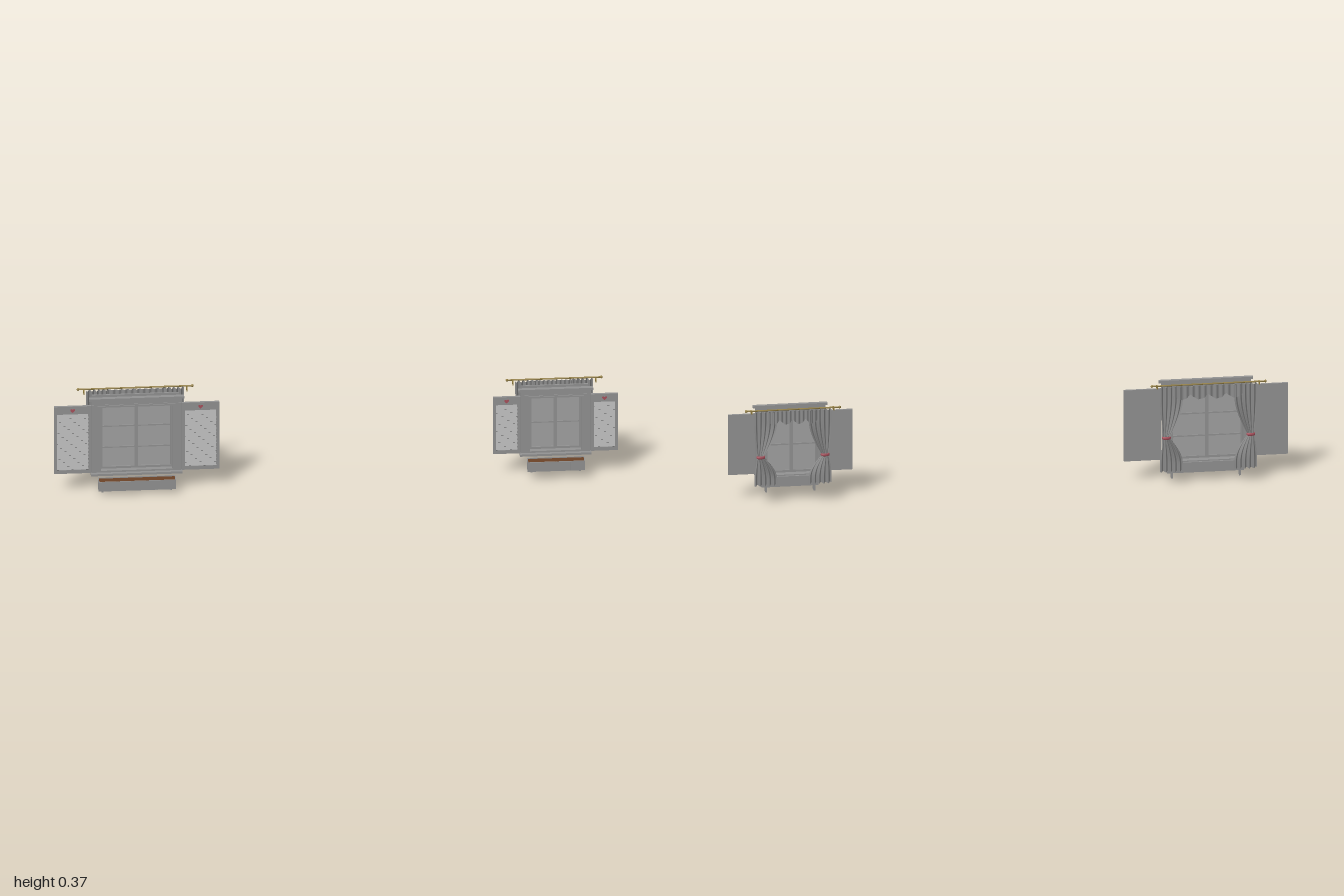
import * as THREE from 'three';

const material = (name, color, side = THREE.FrontSide) => {
  const m = new THREE.MeshStandardMaterial({ color, side });
  m.name = name;
  return m;
};

export function createModel() {
  const paint = material('painted wood grey', 0x929292);
  const pane = material('glass grey', 0xa2a2a2);
  const cloth = material('curtain grey', 0x8c8c8c, THREE.DoubleSide);
  const soilBrown = material('soil brown', 0x6b4226);
  const brass = material('brass', 0x8f7a3c);
  const red = material('dusty red', 0xa8505c);

  const add = (group, name, geometry, mat, x = 0, y = 0, z = 0) => {
    const mesh = new THREE.Mesh(geometry, mat);
    mesh.name = name;
    mesh.position.set(x, y, z);
    group.add(mesh);
    return mesh;
  };
  // Box given by its limits on each axis
  const box = (group, name, x0, x1, y0, y1, z0, z1, mat = paint) =>
    add(group, name, new THREE.BoxGeometry(x1 - x0, y1 - y0, z1 - z0), mat,
      (x0 + x1) / 2, (y0 + y1) / 2, (z0 + z1) / 2);
  // Rectangular frame with a rectangular hole
  const frame = (group, name, ox, oy0, oy1, ix, iy0, iy1, z0, z1, cx = 0) => {
    const rect = (P, x, a, b) => {
      const p = new P();
      p.moveTo(-x, a); p.lineTo(x, a); p.lineTo(x, b); p.lineTo(-x, b); p.closePath();
      return p;
    };
    const s = rect(THREE.Shape, ox, oy0, oy1);
    s.holes.push(rect(THREE.Path, ix, iy0, iy1));
    return add(group, name, new THREE.ExtrudeGeometry(s, { depth: z1 - z0, bevelEnabled: false }), paint, cx, 0, z0);
  };
  // Cloth sheet: fn(u, v) gives a point
  const sheet = (group, name, nu, nv, fn) => {
    const g = new THREE.PlaneGeometry(1, 1, nu, nv);
    const p = g.attributes.position;
    for (let i = 0; i < p.count; i++) p.setXYZ(i, ...fn(p.getX(i) + 0.5, p.getY(i) + 0.5));
    g.computeVertexNormals();
    return add(group, name, g, cloth);
  };

  const heart = new THREE.Shape();
  heart.moveTo(0, -0.008);
  heart.bezierCurveTo(-0.014, 0.001, -0.008, 0.011, 0, 0.004);
  heart.bezierCurveTo(0.008, 0.011, 0.014, 0.001, 0, -0.008);

  function shutter(W, y0, y1, side) {
    const g = new THREE.Group();
    g.name = side > 0 ? 'leftShutter' : 'rightShutter';
    const w = W / 4, a = y0 - 0.001, b = y1 + 0.002;
    box(g, 'shutterBack', -w, w, a, b, 0.013, 0.017);
    frame(g, 'shutterFrame', w, a, b, w - 0.011, a + 0.014, b - 0.03, 0.017, 0.022);
    const lo = a + 0.016, hi = b - 0.032, n = Math.round((hi - lo) / 0.0145);
    for (let i = 0; i < n; i++) {
      const slat = box(g, 'louvre', -w + 0.011, w - 0.011, -0.0075, 0.0075, -0.001, 0.001);
      slat.position.set(0, lo + (i + 0.5) * (hi - lo) / n, 0.0215);
      slat.rotation.x = -0.6;
    }
    add(g, 'shutterHeart', new THREE.ExtrudeGeometry(heart, { depth: 0.001, bevelEnabled: false, curveSegments: 8 }),
      red, 0, b - 0.016, 0.022);
    g.position.x = side * (W / 2 + 0.028 + w);
    return g;
  }

  function flowerBox(W, y0) {
    const g = new THREE.Group();
    g.name = 'flowerBox';
    const x = W / 2 + 0.005, b = y0 - 0.057, t = y0 - 0.02;
    box(g, 'boxBase', -x, x, b, b + 0.004, 0.023, 0.06);
    box(g, 'boxBack', -x, x, b, t, 0.023, 0.026);
    box(g, 'boxFront', -x, x, b, t, 0.057, 0.06);
    for (const s of [-1, 1]) {
      box(g, 'boxEnd', s * x - 0.0015 - s * 0.0015, s * x + 0.0015 - s * 0.0015, b, t, 0.026, 0.057);
      const bx = s * (W / 2 - 0.011);
      box(g, 'boxBracket', bx - 0.003, bx + 0.003, b - 0.016, b + 0.023, 0.013, 0.023);
      box(g, 'bracketFoot', bx - 0.003, bx + 0.003, b - 0.016, b, 0.023, 0.035);
    }
    box(g, 'soil', -x + 0.003, x - 0.003, b + 0.004, t - 0.003, 0.026, 0.057, soilBrown);
    for (let i = -1; i <= 1; i++)
      box(g, 'boxBatten', i * x / 2 - 0.002, i * x / 2 + 0.002, b, t, 0.06, 0.061);
    return g;
  }

  function curtains(W, y0, y1) {
    const g = new THREE.Group();
    g.name = 'curtains';
    const top = y1 + 0.028, bottom = y0 - 0.025, tieY = 0.176, z = -0.048;
    const half = W / 2 + 0.07, rodY = y1 + 0.034;
    add(g, 'curtainRod', new THREE.CylinderGeometry(0.0028, 0.0028, half * 2, 12), brass, 0, rodY, z).rotation.z = Math.PI / 2;
    for (const s of [-1, 1]) {
      add(g, 'rodFinial', new THREE.SphereGeometry(0.0048, 12, 8), brass, s * half, rodY, z);
      box(g, 'rodBracket', s * (W / 2 + 0.05) - 0.002, s * (W / 2 + 0.05) + 0.002, rodY - 0.012, rodY - 0.002, z, -0.028, brass);
      // Gathered panel, pinched at the tie
      sheet(g, s > 0 ? 'leftCurtain' : 'rightCurtain', 60, 36, (u, v) => {
        const y = bottom + v * (top - bottom);
        const d = y > tieY ? (y - tieY) / (top - tieY) : (tieY - y) / (tieY - bottom);
        const open = Math.sin(Math.min(1, d * 1.25) * Math.PI / 2);
        const width = 0.022 + 0.06 * open;
        const centre = W / 2 + 0.018 * (1 - open);
        return [s * centre + (u - 0.5) * width, y, z + (0.003 + 0.006 * open) * Math.sin(u * Math.PI * 10)];
      });
      const tie = add(g, 'curtainTie', new THREE.TorusGeometry(0.012, 0.0025, 8, 24), red, s * (W / 2 + 0.018), tieY, z);
      tie.rotation.x = Math.PI / 2;
      tie.scale.set(1.1, 0.6, 2);
    }
    // Scalloped valance
    sheet(g, 'valance', 96, 6, (u, v) => {
      const drop = 0.032 + 0.018 * Math.abs(Math.sin(u * Math.PI * 4));
      return [(u - 0.5) * (W - 0.01), top - (1 - v) * drop, z + 0.003 * Math.sin(u * Math.PI * 24)];
    });
    return g;
  }

  function windowUnit(name, cx, W, y0, y1, rows) {
    const g = new THREE.Group();
    g.name = name;
    const x = W / 2, ix = x - 0.006, a = y0 + 0.006, b = y1 - 0.006;
    // Lining, outer and inner casings
    frame(g, 'jamb', x, y0, y1, ix, a, b, -0.027, 0.013);
    frame(g, 'outerCasing', x + 0.026, y0 - 0.01, y1 + 0.004, ix, a, b, 0.013, 0.02);
    frame(g, 'outerCasingBead', x + 0.006, y0, y1, ix, a, b, 0.02, 0.023);
    frame(g, 'innerCasing', x + 0.022, y0 - 0.02, y1 + 0.02, ix, a, b, -0.031, -0.026);
    // Crown and sills
    box(g, 'header', -x - 0.028, x + 0.028, y1, y1 + 0.023, 0.013, 0.019);
    box(g, 'crown', -x - 0.036, x + 0.036, y1 + 0.022, y1 + 0.031, 0.013, 0.028);
    box(g, 'outerSill', -x - 0.03, x + 0.03, y0 - 0.01, y0 - 0.002, 0.013, 0.032);
    box(g, 'innerSill', -x - 0.025, x + 0.025, y0 - 0.004, y0 + 0.002, -0.038, -0.026);
    // Sashes with glazing bars
    box(g, 'glass', -ix, ix, a, b, -0.001, 0.001, pane);
    for (const s of [-1, 1])
      frame(g, 'sash', ix / 2, a, b, ix / 2 - 0.006, a + 0.008, b - 0.008, -0.005, 0.006, s * ix / 2);
    for (let i = 1; i < rows; i++) {
      const y = a + (b - a) * i / rows;
      box(g, 'glazingBar', -ix, ix, y - 0.0025, y + 0.0025, -0.004, 0.004);
    }
    g.add(shutter(W, y0, y1, 1), shutter(W, y0, y1, -1), flowerBox(W, y0), curtains(W, y0, y1));
    g.position.x = cx;
    return g;
  }

  const model = new THREE.Group();
  model.name = 'shutteredWindows';
  model.add(windowUnit('largeWindow', -0.707, 0.265, 0.075, 0.337, 3));
  model.add(windowUnit('smallWindow', 0.778, 0.194, 0.095, 0.316, 2));
  return model;
}
